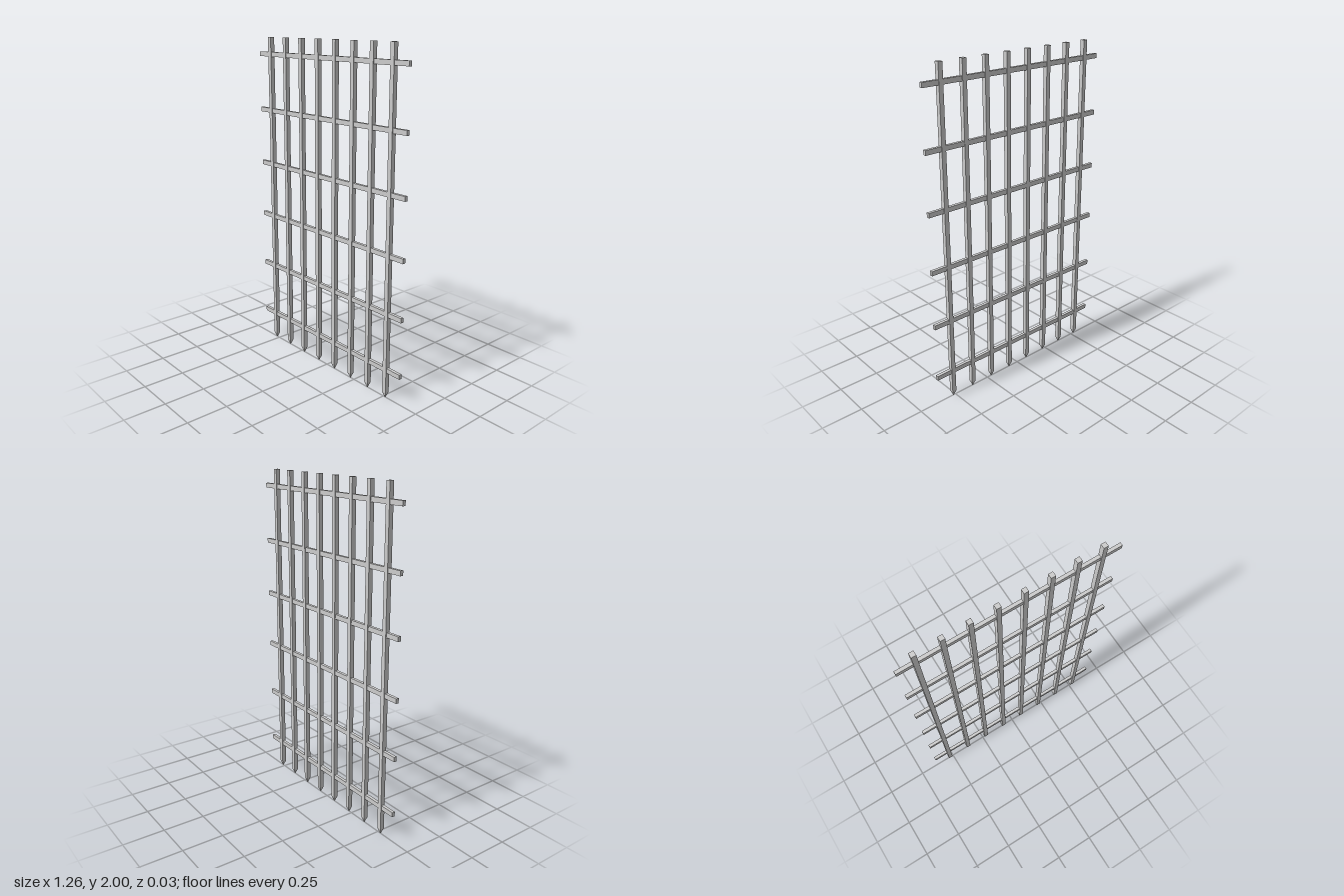
import * as THREE from 'three';

export function createModel() {
  const group = new THREE.Group();
  const material = new THREE.MeshStandardMaterial({ color: 0xcccccc, flatShading: true });
  const barWidth = 0.027, tipHeight = 0.035, height = 2;

  // Square bar, and its four-sided spike pointing down
  const shaftGeometry = new THREE.BoxGeometry(barWidth, height - tipHeight, barWidth);
  const tipGeometry = new THREE.CylinderGeometry(barWidth * Math.SQRT1_2, 0.002, tipHeight, 4, 1);
  tipGeometry.rotateY(Math.PI / 4);
  const railGeometry = new THREE.BoxGeometry(1.256, 0.028, 0.019);

  const add = (parent, name, geometry, x, y) => {
    const mesh = new THREE.Mesh(geometry, material);
    mesh.name = name;
    mesh.position.set(x, y, 0);
    parent.add(mesh);
  };

  // Eight upright bars
  for (let i = 0; i < 8; i++) {
    const bar = new THREE.Group();
    bar.name = `uprightBar${i + 1}`;
    bar.position.x = -0.522 + i * 0.1482;
    add(bar, 'barShaft', shaftGeometry, 0, (height + tipHeight) / 2);
    add(bar, 'barSpike', tipGeometry, 0, tipHeight / 2);
    group.add(bar);
  }

  // Six thinner cross rails running through the bars
  for (let i = 0; i < 6; i++) add(group, `crossRail${i + 1}`, railGeometry, 0, 0.177 + i * 0.344);

  return group;
}
